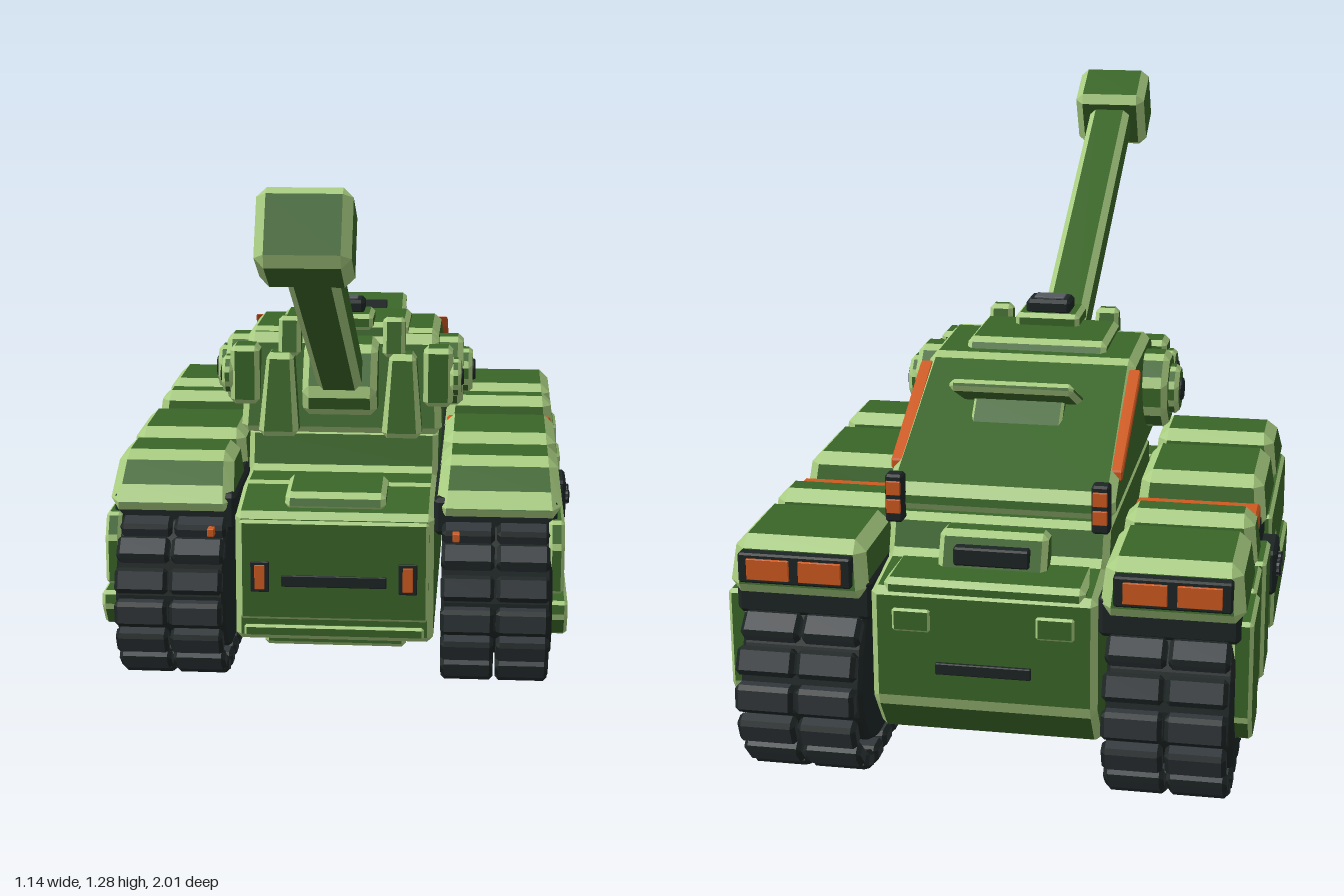
import * as THREE from 'three';

const mat = (name, color) => Object.assign(new THREE.MeshStandardMaterial({ color }), { name });
const green = mat('dark green', 0x3a6628), trim = mat('light green', 0xa8cc80), black = mat('black', 0x1d2524);
const rubber = mat('track grey', 0x31373b), orange = mat('orange', 0xcf5a20), grey = mat('grey', 0x555a60);
const ARMOR = [green, trim], BLACK = [black, black], ORANGE = [orange, orange];

// Chamfered prism: a [z, y] profile swept from x0 to x1. Group 0 = main faces, group 1 = chamfers.
function prismGeometry(profile, x0, x1, b, warp) {
  let pts = profile.map(([z, y]) => new THREE.Vector2(z, y));
  if (THREE.ShapeUtils.area(pts) < 0) pts.reverse();
  const n = pts.length, lo = Math.min(x0, x1), hi = Math.max(x0, x1);
  const dir = pts.map((p, i) => pts[(i + 1) % n].clone().sub(p).normalize());
  const A = pts.map((p, i) => p.clone().addScaledVector(dir[i], b));
  const B = pts.map((p, i) => p.clone().addScaledVector(dir[(i + n - 1) % n], -b));
  const C = pts.map((p, i) => {
    const d = dir[i], e = dir[(i + n - 1) % n];
    const m = new THREE.Vector2(-d.y - e.y, d.x + e.x);
    return p.clone().addScaledVector(m, b / (1 + d.dot(e)));
  });
  const main = [], edge = [];
  const put = (list, face) => {
    for (let k = 1; k < face.length - 1; k++)
      for (const [x, p] of [face[0], face[k], face[k + 1]]) list.push(x, p.y, p.x);
  };
  const caps = THREE.ShapeUtils.triangulateShape(C, []);
  for (const [cx, sx, flip] of [[lo, lo + b, false], [hi, hi - b, true]]) {
    const add = (list, f) => put(list, flip ? f.reverse() : f);
    caps.forEach(t => add(main, t.map(i => [cx, C[i]])));
    for (let i = 0; i < n; i++) {
      const j = (i + 1) % n;
      add(edge, [[sx, A[i]], [sx, B[j]], [cx, C[j]], [cx, C[i]]]);
      add(edge, [[sx, B[i]], [sx, A[i]], [cx, C[i]]]);
    }
  }
  const l = lo + b, h = hi - b;
  for (let i = 0; i < n; i++) {
    const j = (i + 1) % n;
    put(main, [[l, B[j]], [l, A[i]], [h, A[i]], [h, B[j]]]);
    put(edge, [[l, A[i]], [l, B[i]], [h, B[i]], [h, A[i]]]);
  }
  const pos = [...main, ...edge];
  if (warp) for (let i = 0; i < pos.length; i += 3) pos[i] = warp(pos[i], pos[i + 1], pos[i + 2]);
  const g = new THREE.BufferGeometry();
  g.setAttribute('position', new THREE.Float32BufferAttribute(pos, 3));
  g.addGroup(0, main.length / 3, 0);
  g.addGroup(main.length / 3, edge.length / 3, 1);
  g.computeVertexNormals();
  return g;
}

function prism(parent, name, profile, x0, x1, b, mats = ARMOR, warp) {
  const m = new THREE.Mesh(prismGeometry(profile, x0, x1, b, warp), mats);
  m.name = name;
  parent.add(m);
  return m;
}
const rect = (y0, y1, z0, z1) => [[z0, y0], [z1, y0], [z1, y1], [z0, y1]];
const box = (parent, name, x0, x1, y0, y1, z0, z1, b, mats, warp) =>
  prism(parent, name, rect(y0, y1, z0, z1), x0, x1, b, mats, warp);
const ring = (z, y, r, n = 8) => Array.from({ length: n }, (_, i) => {
  const a = (i + 0.5) / n * Math.PI * 2;
  return [z + r * Math.cos(a), y + r * Math.sin(a)];
});
const group = (parent, name) => {
  const g = new THREE.Group();
  g.name = name;
  parent.add(g);
  return g;
};

// Point and heading on the track loop at fraction t
function trackPoint(t) {
  const R = 0.188, cy = 0.209, zf = 0.118, zb = -0.808, S = zf - zb, arc = Math.PI * R;
  let d = t * 2 * (S + arc);
  if (d < S) return [zb + d, cy - R, 0];
  d -= S;
  if (d < arc) { const a = d / R; return [zf + R * Math.sin(a), cy - R * Math.cos(a), a]; }
  d -= arc;
  if (d < S) return [zf - d, cy + R, Math.PI];
  const a = (d - S) / R;
  return [zb - R * Math.sin(a), cy + R * Math.cos(a), Math.PI + a];
}

function buildSide(root, s) {
  const side = group(root, s > 0 ? 'leftTrackUnit' : 'rightTrackUnit');
  // Track pads in two rows, wrapped round the loop
  const pad = prismGeometry(rect(-0.02, 0.02, -0.03, 0.03), -0.062, 0.062, 0.009);
  const count = 40;
  for (let i = 0; i < count; i++) {
    const [z, y, a] = trackPoint(i / count);
    for (const x of [0.317, 0.446]) {
      const m = new THREE.Mesh(pad, [rubber, black]);
      m.name = 'trackPad';
      m.position.set(s * x, y, z);
      m.rotation.x = -a;
      side.add(m);
    }
  }
  const core = [[0.13, 0.06], [0.2, 0.085], [0.25, 0.15], [0.262, 0.22], [0.235, 0.32], [0.19, 0.4],
    [-0.88, 0.4], [-0.93, 0.3], [-0.95, 0.22], [-0.935, 0.15], [-0.89, 0.085], [-0.82, 0.06]];
  prism(side, 'trackCore', core, s * 0.255, s * 0.515, 0.008, BLACK);
  box(side, 'fenderBase', s * 0.235, s * 0.525, 0.37, 0.46, -0.92, 0.19, 0.01, BLACK);

  // Fenders
  const lean = (x, y) => s * 0.387 + (x - s * 0.387) * (1 - Math.max(0, y - 0.42) * 0.75);
  const fender = (name, p) => prism(side, name, p, s * 0.238, s * 0.538, 0.024, ARMOR, lean);
  fender('frontFender', [[0.22, 0.42], [0.19, 0.46], [0.105, 0.54], [-0.05, 0.54], [-0.07, 0.42]]);
  fender('middleFender', [[-0.085, 0.42], [-0.125, 0.54], [-0.365, 0.54], [-0.4, 0.42]]);
  fender('shortFender', [[-0.51, 0.42], [-0.535, 0.54], [-0.63, 0.54], [-0.655, 0.42]]);
  fender('rearFender', [[-0.67, 0.42], [-0.69, 0.54], [-0.92, 0.54], [-0.945, 0.42]]);
  box(side, 'orangeBand', s * 0.25, s * 0.525, 0.44, 0.5, -0.495, -0.42, 0.006, ORANGE);
  box(side, 'frontMarker', s * 0.28, s * 0.297, 0.37, 0.39, 0.2, 0.243, 0.002, ORANGE);
  box(side, 'rearLightFrame', s * 0.27, s * 0.51, 0.45, 0.515, -0.95, -0.92, 0.004, BLACK);
  for (const x of [0.335, 0.445])
    box(side, 'rearLight', s * (x - 0.045), s * (x + 0.045), 0.46, 0.505, -0.956, -0.948, 0.001, ORANGE);

  // Side skirts
  const skirt = (name, p, x1 = 0.542) => prism(side, name, p, s * 0.505, s * x1, 0.008);
  skirt('upperSkirt', [[0.205, 0.415], [0.232, 0.36], [0.232, 0.245], [0.0, 0.245], [-0.1, 0.315], [-0.265, 0.315], [-0.265, 0.415]]);
  skirt('lowerSkirt', [[0.235, 0.228], [0.24, 0.19], [0.2, 0.135], [-0.265, 0.135], [-0.265, 0.3], [-0.11, 0.3], [-0.01, 0.228]], 0.552);
  skirt('skirtPanel', rect(0.14, 0.415, -0.565, -0.42), 0.55);
  skirt('skirtPanel', rect(0.14, 0.415, -0.725, -0.578));
  skirt('skirtPanel', [[-0.738, 0.14], [-0.738, 0.415], [-0.905, 0.415], [-0.905, 0.2], [-0.865, 0.14]], 0.55);
  box(side, 'lampHousing', s * 0.505, s * 0.562, 0.275, 0.38, -0.405, -0.28, 0.008, BLACK);
  box(side, 'lampMount', s * 0.505, s * 0.54, 0.11, 0.24, -0.375, -0.315, 0.006, BLACK);
  for (const z of [-0.315, -0.37])
    prism(side, 'sideLamp', ring(z, 0.33, 0.02), s * 0.555, s * 0.572, 0.004, [grey, black]);
}

function buildHull(root) {
  const hull = group(root, 'hull');
  const profile = [[0.205, 0.105], [0.205, 0.42], [0.03, 0.45], [-0.085, 0.45], [-0.115, 0.55],
    [-0.75, 0.55], [-0.78, 0.47], [-0.93, 0.45], [-0.93, 0.2], [-0.86, 0.105]];
  prism(hull, 'hullBody', profile, -0.236, 0.236, 0.014);
  box(hull, 'frontPlate', -0.225, 0.225, 0.16, 0.405, 0.19, 0.216, 0.007);
  box(hull, 'frontLip', -0.215, 0.215, 0.115, 0.145, 0.19, 0.214, 0.006);
  box(hull, 'bellyPlate', -0.17, 0.17, 0.08, 0.115, -0.8, 0.17, 0.01);
  for (const z of [-0.12, -0.42])
    box(hull, 'bellyRib', -0.17, 0.17, 0.074, 0.085, z - 0.008, z + 0.008, 0.002, [trim, trim]);
  prism(hull, 'deckHatch', [[0.18, 0.42], [0.16, 0.458], [0.03, 0.475], [0.03, 0.43]], -0.12, 0.12, 0.012);
  box(hull, 'frontSlot', -0.125, 0.125, 0.244, 0.272, 0.21, 0.221, 0.002, BLACK);
  for (const s of [-1, 1]) {
    box(hull, 'headlightFrame', s * 0.154, s * 0.198, 0.23, 0.305, 0.21, 0.221, 0.002, BLACK);
    box(hull, 'headlight', s * 0.164, s * 0.188, 0.238, 0.297, 0.218, 0.226, 0.001, ORANGE);
    box(hull, 'rearBracket', s * 0.11, s * 0.19, 0.36, 0.41, -0.937, -0.92, 0.005);
    box(hull, 'tailPost', s * 0.2, s * 0.238, 0.54, 0.645, -0.785, -0.75, 0.005, BLACK);
    for (const y of [0.562, 0.602])
      box(hull, 'tailLight', s * 0.204, s * 0.234, y, y + 0.03, -0.791, -0.782, 0.001, ORANGE);
  }
  box(hull, 'rearStep', -0.21, 0.21, 0.43, 0.47, -0.925, -0.78, 0.012);
  prism(hull, 'rearVentBox', [[-0.76, 0.45], [-0.76, 0.54], [-0.81, 0.54], [-0.85, 0.45]], -0.115, 0.115, 0.012);
  box(hull, 'rearVent', -0.08, 0.08, 0.475, 0.515, -0.845, -0.8, 0.004, BLACK);
  box(hull, 'rearSlot', -0.1, 0.1, 0.27, 0.295, -0.938, -0.925, 0.002, BLACK);
}

function buildTurret(root) {
  const turret = group(root, 'turret');
  const body = [[-0.02, 0.56], [-0.085, 0.79], [-0.12, 0.805], [-0.37, 0.8], [-0.755, 0.61], [-0.765, 0.56]];
  prism(turret, 'turretBody', body, -0.247, 0.247, 0.017, ARMOR, (x, y) => x * (1 - (y - 0.56) * 0.22));
  prism(turret, 'roofPlate', [[-0.09, 0.78], [-0.1, 0.823], [-0.31, 0.823], [-0.335, 0.79]], -0.16, 0.16, 0.012);
  box(turret, 'scopeBase', -0.075, 0.075, 0.81, 0.85, -0.18, -0.06, 0.01);
  box(turret, 'scope', -0.052, 0.052, 0.845, 0.88, -0.165, -0.09, 0.008, BLACK);
  box(turret, 'scopeGlass', -0.035, 0.035, 0.877, 0.884, -0.15, -0.105, 0.001, [grey, grey]);

  // Raised rear flap
  prism(turret, 'flapBase', [[-0.45, 0.75], [-0.47, 0.77], [-0.52, 0.75], [-0.58, 0.69]], -0.1, 0.1, 0.006);
  const flap = group(turret, 'rearFlap');
  flap.position.set(0, 0.768, -0.55);
  flap.rotation.x = 0.43;
  box(flap, 'flapPlate', -0.135, 0.135, -0.013, 0.013, -0.08, 0.08, 0.01);
  box(flap, 'flapVent', -0.085, 0.085, 0.01, 0.018, -0.03, 0.062, 0.002, BLACK);

  // Mantlet round the gun root
  prism(turret, 'mantlet', [[0.03, 0.62], [0.05, 0.68], [-0.01, 0.78], [-0.09, 0.8], [-0.08, 0.6]], -0.09, 0.09, 0.016);
  for (const s of [-1, 1]) {
    prism(turret, 'cheekPlate', [[0.025, 0.56], [-0.015, 0.76], [-0.09, 0.76], [-0.08, 0.56]], s * 0.1, s * 0.2, 0.014,
      ARMOR, (x, y) => s * 0.148 + (x - s * 0.148) * (1 - (y - 0.56) * 1.8));
    prism(turret, 'horn', [[-0.03, 0.75], [-0.05, 0.845], [-0.085, 0.845], [-0.11, 0.75]], s * 0.1, s * 0.155, 0.01);
    box(turret, 'pivotArm', s * 0.2, s * 0.272, 0.63, 0.775, -0.1, -0.02, 0.012);
    prism(turret, 'frontPivot', ring(-0.06, 0.7, 0.05), s * 0.265, s * 0.292, 0.008);
    prism(turret, 'frontPivotHub', ring(-0.06, 0.7, 0.022), s * 0.28, s * 0.298, 0.004, BLACK);
    prism(turret, 'sideDisc', ring(-0.195, 0.69, 0.094), s * 0.22, s * 0.295, 0.014);
    prism(turret, 'sideDiscCap', ring(-0.195, 0.69, 0.06), s * 0.285, s * 0.318, 0.01);
    prism(turret, 'sideDiscHub', ring(-0.195, 0.69, 0.028), s * 0.305, s * 0.325, 0.004, BLACK);
    prism(turret, 'orangeStripe', [[-0.39, 0.787], [-0.41, 0.755], [-0.68, 0.622], [-0.68, 0.645]], s * 0.222, s * 0.25, 0.003, ORANGE);
  }

  // Gun, raised and built along its own z axis
  const gun = group(turret, 'gun');
  gun.position.set(0, 1.18, 0.893);
  gun.rotation.x = -0.482;
  box(gun, 'barrel', -0.054, 0.054, -0.045, 0.045, -1.0, -0.06, 0.016);
  box(gun, 'muzzle', -0.094, 0.094, -0.082, 0.082, -0.078, 0.078, 0.02);
}

export function createModel() {
  const root = new THREE.Group();
  root.name = 'tank';
  buildHull(root);
  for (const s of [-1, 1]) buildSide(root, s);
  buildTurret(root);
  return root;
}
